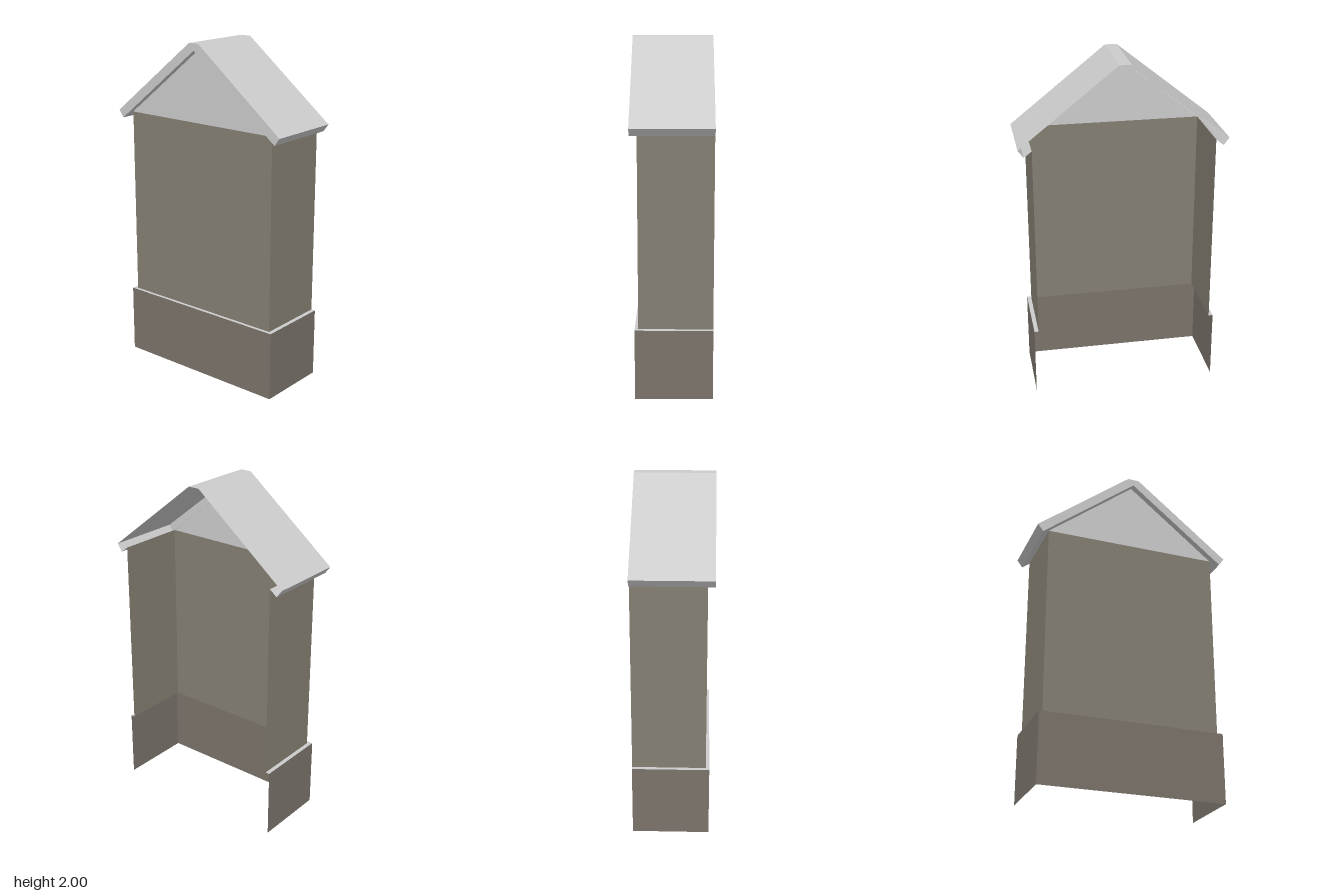
import * as THREE from 'three';

const V = (x, y, z) => new THREE.Vector3(x, y, z);

// Flat-faced ribbon of quads between two rows of points, empty triangles left out
function ribbon(name, a, b, color = 0xcccccc) {
  const points = [];
  const triangle = (p, q, r) => {
    if (new THREE.Triangle(p, q, r).getArea() > 1e-7) points.push(p, q, r);
  };
  for (let i = 0; i < a.length - 1; i++) {
    triangle(a[i], a[i + 1], b[i + 1]);
    triangle(a[i], b[i + 1], b[i]);
  }
  const geometry = new THREE.BufferGeometry().setFromPoints(points);
  geometry.computeVertexNormals();
  const material = new THREE.MeshStandardMaterial({ color, flatShading: true, side: THREE.DoubleSide });
  const mesh = new THREE.Mesh(geometry, material);
  mesh.name = name;
  return mesh;
}

const OPEN = 0.23;      // x of the open side
const WALL_X = -0.19, WALL_Z = 0.52;
const BASE_X = -0.21, BASE_Z = 0.545, BASE_TOP = 0.41;
const ROOF_X = -0.23, EAVE = 1.545;

// Three-sided plan, open towards +x
const plan = (x, z, y) => [V(OPEN, y, -z), V(x, y, -z), V(x, y, z), V(OPEN, y, z)];

// Roof profiles at a given x, running from the front eave to the back eave
const profile = (half, x) => [
  ...half.map(([z, y]) => V(x, y, z)),
  ...[...half].reverse().map(([z, y]) => V(x, y, -z)),
];
const outer = [[0.565, 1.51], [0.597, 1.553], [0.034, 2]];
const inner = [[0.565, 1.51], [0.565, 1.51], [0, 1.96]];

export function createModel() {
  const model = new THREE.Group();
  model.name = 'gabledDormer';

  // Plinth with a narrow ledge, and the walls above it
  model.add(
    ribbon('base', plan(BASE_X, BASE_Z, 0), plan(BASE_X, BASE_Z, BASE_TOP), 0x7a736a),
    ribbon('baseLedge', plan(BASE_X, BASE_Z, BASE_TOP), plan(WALL_X, WALL_Z, BASE_TOP)),
    ribbon('walls', plan(WALL_X, WALL_Z, BASE_TOP), plan(WALL_X, WALL_Z, EAVE), 0x857f72),
  );

  // Triangle of wall under the roof
  const ends = [V(WALL_X, EAVE, -WALL_Z), V(WALL_X, EAVE, WALL_Z)];
  const apex = V(WALL_X, 1.96, 0);
  model.add(ribbon('gable', ends, [apex, apex]));

  // Roof shell with its end band and the underside of the gable overhang
  model.add(
    ribbon('roof', profile(outer, OPEN), profile(outer, ROOF_X)),
    ribbon('roofEnd', profile(outer, ROOF_X), profile(inner, ROOF_X)),
    ribbon('gableOverhang', profile(inner, ROOF_X), profile(inner, WALL_X)),
  );

  // Underside of the eaves, front and back
  for (const side of [1, -1]) {
    const edge = (x) => {
      const row = [V(x, 1.51, 0.565 * side), V(x, EAVE, WALL_Z * side)];
      return side > 0 ? row : row.reverse();
    };
    model.add(ribbon(side > 0 ? 'frontEave' : 'backEave', edge(WALL_X), edge(OPEN)));
  }

  return model;
}
